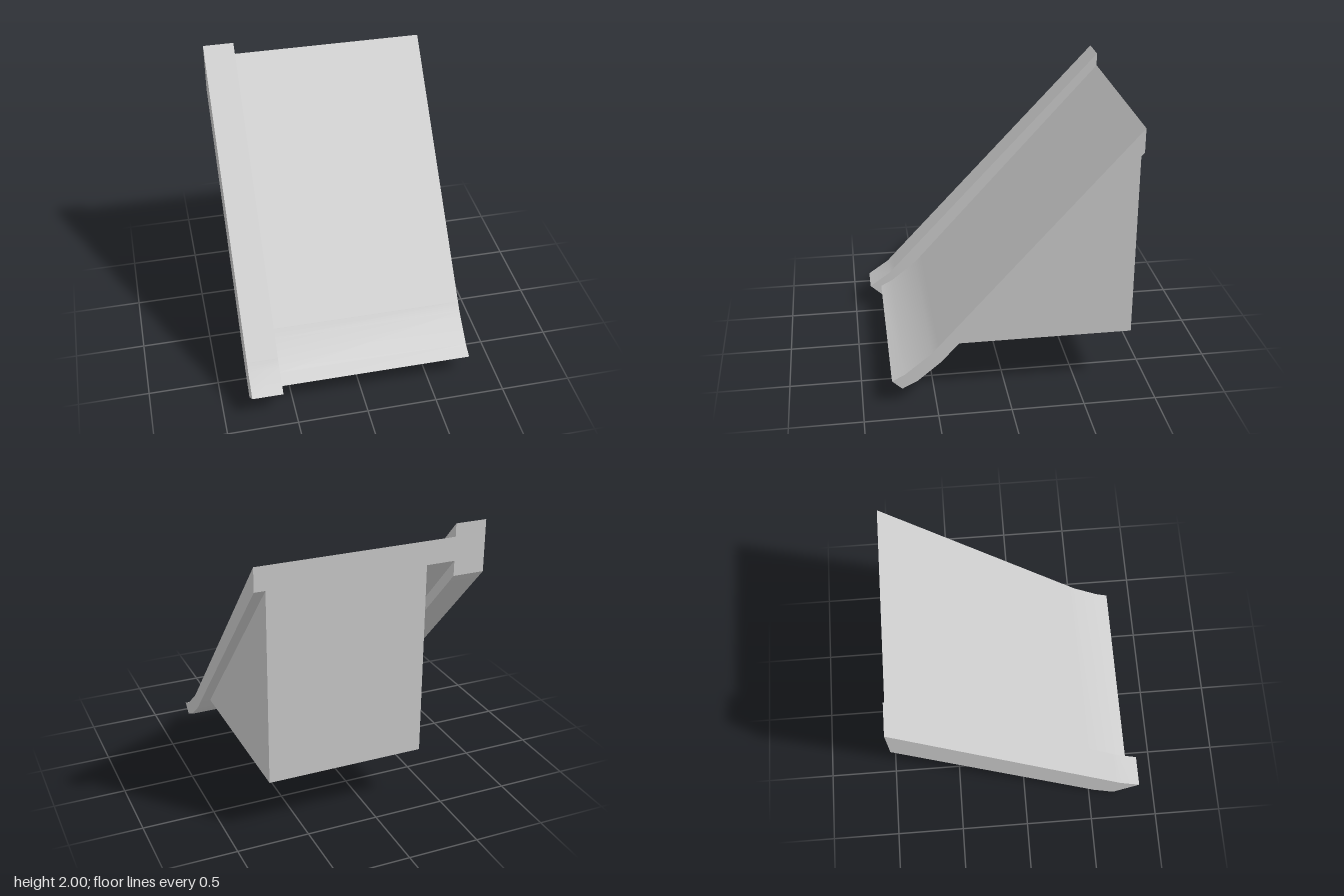
import * as THREE from 'three';
import { toCreasedNormals } from 'three/addons/utils/BufferGeometryUtils.js';

const material = new THREE.MeshStandardMaterial({ color: 0xcccccc });

// Extrudes a side profile of [z, y] points across the width from x0 to x1.
function profilePart(name, profile, x0, x1) {
  const shape = new THREE.Shape(profile.map(([z, y]) => new THREE.Vector2(z, y)));
  const geometry = new THREE.ExtrudeGeometry(shape, { depth: x1 - x0, bevelEnabled: false });
  geometry.rotateY(-Math.PI / 2).translate(x1, 0, 0);
  const mesh = new THREE.Mesh(toCreasedNormals(geometry, Math.PI / 7), material);
  mesh.name = name;
  return mesh;
}

export function createModel() {
  const group = new THREE.Group();
  group.name = 'slopedRoof';
  const back = -0.88;

  // Sloping roof slab that flares outward at the eave
  group.add(profilePart('roofSlab', [
    [back, 1.91], [back, 1.745], [0.36, 0.402], [0.452, 0.30], [0.62, 0.16],
    [0.727, 0.106], [0.796, 0.17], [0.706, 0.217], [0.52, 0.366], [0.47, 0.421],
  ], -0.58, 0.8));

  // Thicker edge board along one side, following the same slope
  group.add(profilePart('edgeBoard', [
    [back, 2.0], [back, 1.64], [0.48, 0.175], [0.53, 0.122], [0.69, 0],
    [0.88, 0.175], [0.727, 0.281], [0.68, 0.332],
  ], -0.8, -0.58));

  // Wedge-shaped wall block beneath the slab
  group.add(profilePart('wallBlock', [
    [back, 1.75], [back, 0.385], [0.375, 0.385],
  ], -0.38, 0.725));

  return group;
}
